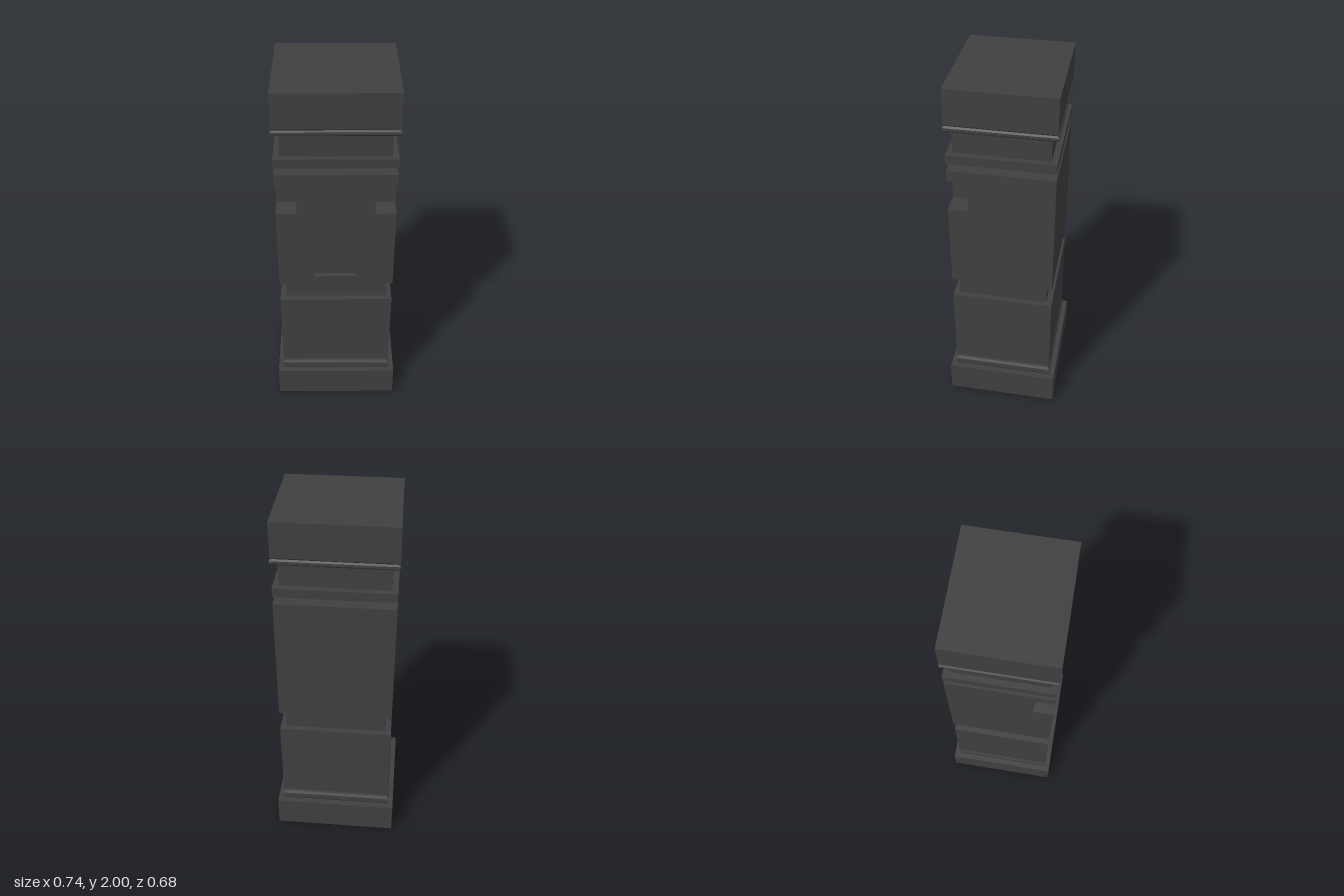
import * as THREE from 'three';
import { mergeGeometries } from 'three/addons/utils/BufferGeometryUtils.js';

const HALF_W = 0.342, HALF_D = 0.309; // half size of the plinth
const INSET = 0.033;                  // main blocks sit this far inside the plinth
const W = HALF_W - INSET, D = HALF_D - INSET;
const BODY_LOW = 0.845, BODY_HIGH = 1.555;
const NOTCH = { x: 0.2, z: 0.17, low: 1.32, high: 1.49 };
const PANEL = { x: 0.113, low: 0.9, high: 1.49, depth: 0.027 };

const stone = new THREE.MeshStandardMaterial({
  color: 0x404040, flatShading: true, side: THREE.DoubleSide,
});

// Flat four-cornered face, corners counter-clockwise from outside
function quad(a, b, c, d) {
  const g = new THREE.BufferGeometry();
  g.setAttribute('position', new THREE.Float32BufferAttribute([a, b, c, a, c, d].flat(), 3));
  g.computeVertexNormals();
  return g;
}

// Rectangular ring of corners at a given inset and height
function ring([inset, y]) {
  const x = HALF_W - inset, z = HALF_D - inset;
  return [[-x, y, z], [x, y, z], [x, y, -z], [-x, y, -z]];
}

// Open mitred shell following a profile of [inset, height] points
function mitredShell(profile) {
  const faces = [];
  for (let i = 0; i < profile.length - 1; i++) {
    const low = ring(profile[i]), high = ring(profile[i + 1]);
    for (let k = 0; k < 4; k++) {
      const n = (k + 1) % 4;
      faces.push(quad(low[k], low[n], high[n], high[k]));
    }
  }
  return mergeGeometries(faces);
}

// Flat outline drawn in x, y, with optional holes
function flatFace(points, holes = []) {
  const toPoints = (list) => list.map(([x, y]) => new THREE.Vector2(x, y));
  const shape = new THREE.Shape(toPoints(points));
  holes.forEach((h) => shape.holes.push(new THREE.Path(toPoints(h))));
  const g = new THREE.ShapeGeometry(shape).toNonIndexed();
  g.deleteAttribute('uv');
  return g;
}

function add(parent, name, geometry) {
  const mesh = new THREE.Mesh(geometry, stone);
  mesh.name = name;
  parent.add(mesh);
}

function bodyWalls() {
  const { x: nx, z: nz, low, high } = NOTCH;
  const p = PANEL;
  // Front wall with both corner notches and the panel opening
  const front = flatFace(
    [[-W, BODY_LOW], [W, BODY_LOW], [W, low], [nx, low], [nx, high], [W, high],
      [W, BODY_HIGH], [-W, BODY_HIGH], [-W, high], [-nx, high], [-nx, low], [-W, low]],
    [[[-p.x, p.low], [-p.x, p.high], [p.x, p.high], [p.x, p.low]]],
  ).translate(0, 0, D);
  const back = flatFace([[-W, BODY_LOW], [W, BODY_LOW], [W, BODY_HIGH], [-W, BODY_HIGH]])
    .rotateY(Math.PI).translate(0, 0, -D);
  // Side walls, notched at their front edge
  const right = flatFace([[-D, BODY_LOW], [D, BODY_LOW], [D, low], [nz, low], [nz, high],
    [D, high], [D, BODY_HIGH], [-D, BODY_HIGH]]).rotateY(-Math.PI / 2).translate(-W, 0, 0);
  const left = flatFace([[-D, BODY_LOW], [D, BODY_LOW], [D, BODY_HIGH], [-D, BODY_HIGH],
    [-D, high], [-nz, high], [-nz, low], [-D, low]]).rotateY(Math.PI / 2).translate(W, 0, 0);
  return mergeGeometries([front, back, right, left]);
}

// Inner faces of one corner notch; side is +1 for left, -1 for right
function notchFaces(side) {
  const { x, z, low, high } = NOTCH;
  const face = (...corners) => {
    const c = corners.map(([px, py, pz]) => [px * side, py, pz]);
    return quad(...(side > 0 ? c : c.reverse()));
  };
  return mergeGeometries([
    face([x, low, D], [x, low, z], [x, high, z], [x, high, D]),
    face([x, low, z], [W, low, z], [W, high, z], [x, high, z]),
    face([x, low, D], [W, low, D], [W, low, z], [x, low, z]),
    face([x, high, z], [W, high, z], [W, high, D], [x, high, D]),
  ]);
}

// Sunken front panel: back plus four reveals
function panelFaces() {
  const { x, low, high, depth } = PANEL;
  const outer = [[-x, low, D], [x, low, D], [x, high, D], [-x, high, D]];
  const inner = outer.map(([px, py]) => [px, py, D - depth]);
  const faces = [quad(...inner)];
  for (let k = 0; k < 4; k++) {
    const n = (k + 1) % 4;
    faces.push(quad(outer[k], outer[n], inner[n], inner[k]));
  }
  return mergeGeometries(faces);
}

export function createModel() {
  const pillar = new THREE.Group();
  pillar.name = 'pillar';

  // Hollow, open-bottomed courses, each continuing from the one below
  const courses = {
    plinth: [[0, 0], [0, 0.18], [0.035, 0.18]],
    baseMoulding: [[0.035, 0.18], [0.028, 0.192], [0.028, 0.222], [0.037, 0.235], [0.085, 0.235]],
    baseNeck: [[0.085, 0.235], [0.085, 0.255], [INSET, 0.255]],
    lowerBlock: [[INSET, 0.255], [INSET, 0.73], [0.064, 0.73]],
    middleNeck: [[0.064, 0.73], [0.064, BODY_LOW], [INSET, BODY_LOW]],
    upperNeck: [[INSET, BODY_HIGH], [0.148, BODY_HIGH], [0.148, 1.595], [INSET, 1.595]],
    ledge: [[INSET, 1.595], [INSET, 1.645], [0.064, 1.645]],
    capNeck: [[0.064, 1.645], [0.064, 1.775], [0.036, 1.775]],
    capMoulding: [[0.036, 1.775], [0.029, 1.783], [0.029, 1.797], [0.038, 1.805]],
    capBlock: [[0.038, 1.805], [INSET, 1.812], [INSET, 2]],
  };
  for (const [name, profile] of Object.entries(courses)) {
    add(pillar, name, mitredShell(profile));
  }
  add(pillar, 'capTop', quad(...ring([INSET, 2])));

  // Main body with its cut-outs
  const body = new THREE.Group();
  body.name = 'body';
  add(body, 'bodyWalls', bodyWalls());
  add(body, 'frontPanel', panelFaces());
  add(body, 'leftNotch', notchFaces(1));
  add(body, 'rightNotch', notchFaces(-1));
  pillar.add(body);

  // The whole pillar stands slightly turned
  pillar.rotation.y = -THREE.MathUtils.degToRad(5);
  const model = new THREE.Group();
  model.name = 'turnedPillar';
  model.add(pillar);
  return model;
}
